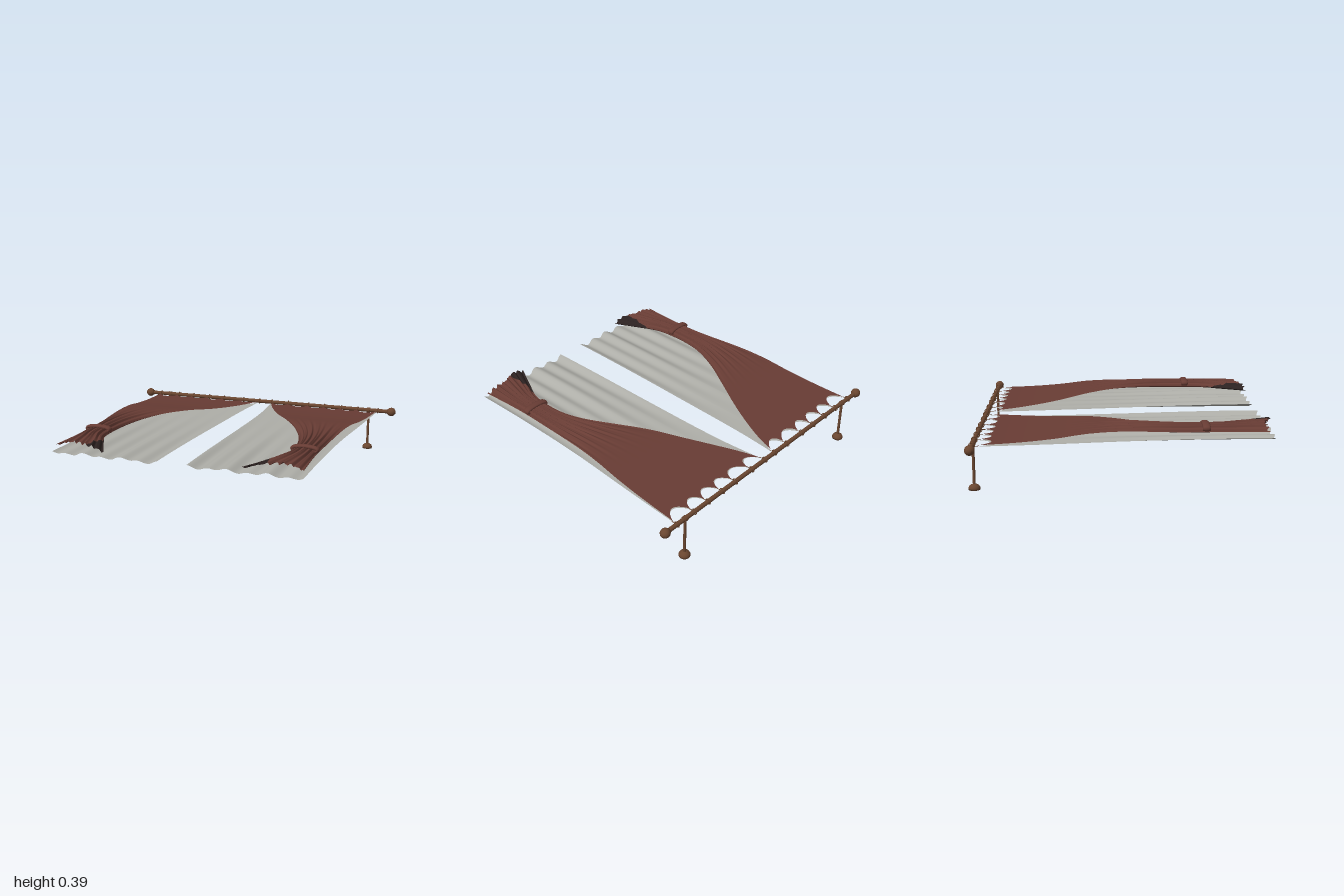
import * as THREE from 'three';

const mat = (name, color, side = THREE.FrontSide) => {
  const m = new THREE.MeshStandardMaterial({ color, side });
  m.name = name;
  return m;
};

// smooth curve through (z, value) pairs
function profile(pairs) {
  const c = new THREE.CubicInterpolant(pairs.map(p => p[0]), pairs.map(p => p[1]), 1);
  return z => c.evaluate(z)[0];
}

const ROD_Y = 0.29, ROD_Z = -0.905;
const RINGS = [0.05, 0.18, 0.34, 0.465, 0.595, 0.72, 0.87];
const smooth = THREE.MathUtils.smoothstep, lerp = THREE.MathUtils.lerp;

// top edge hanging in scallops between the rings
function scallop(u) {
  const x = 0.05 + u * 0.82;
  for (let i = 0; i < 6; i++) {
    if (x <= RINGS[i + 1] + 1e-6) {
      const t = (x - RINGS[i]) / (RINGS[i + 1] - RINGS[i]);
      return -0.875 + (i === 5 ? 0.08 : 0.07) * Math.pow(Math.max(0, 4 * t * (1 - t)), 0.8);
    }
  }
  return -0.875;
}

// grid of fabric from a rule (u across, v down) -> [x, y, z]
function sheet(rule, side, u0 = () => 0, u1 = () => 1, v0 = 0, nu = 164, nv = 44) {
  const pos = [], idx = [];
  for (let j = 0; j <= nv; j++) {
    const v = lerp(v0, 1, j / nv);
    for (let i = 0; i <= nu; i++) {
      const [x, y, z] = rule(lerp(u0(v), u1(v), i / nu), v);
      pos.push(side * x, y, z);
    }
  }
  for (let j = 0; j < nv; j++) for (let i = 0; i < nu; i++) {
    const a = j * (nu + 1) + i, b = a + 1, c = a + nu + 1, d = c + 1;
    if (side > 0) idx.push(a, c, b, b, c, d);
    else idx.push(a, b, c, b, d, c);
  }
  const g = new THREE.BufferGeometry();
  g.setAttribute('position', new THREE.Float32BufferAttribute(pos, 3));
  g.setIndex(idx);
  g.computeVertexNormals();
  return g;
}

const drapeInner = profile([[-0.9, 0.045], [-0.75, 0.095], [-0.6, 0.16], [-0.4, 0.26], [-0.2, 0.37], [0, 0.485],
  [0.2, 0.575], [0.35, 0.61], [0.5, 0.615], [0.62, 0.6], [0.75, 0.54], [0.94, 0.445]]);
const drapeOuter = profile([[-0.9, 0.868], [-0.4, 0.84], [0, 0.812], [0.5, 0.785], [0.94, 0.805]]);
const drapeCrest = profile([[-0.9, 0.292], [-0.6, 0.307], [-0.4, 0.325], [-0.2, 0.353], [0, 0.37], [0.5, 0.372], [0.94, 0.373]]);
const sheerInner = profile([[-0.9, 0.048], [-0.6, 0.073], [0, 0.088], [0.94, 0.097]]);
const sheerOuter = profile([[-0.9, 0.868], [-0.4, 0.838], [0, 0.815], [0.5, 0.808], [0.94, 0.812]]);

// gathered drape: pleats deepen towards the tieback
function drapeRule(u, v) {
  const hem = lerp(0.93, 0.88, smooth(u, 0.2, 0.6)) + 0.008 * Math.cos(u * 44);
  const z = lerp(scallop(u), hem, v);
  const gather = smooth(z, -0.35, 0.4);
  const x = lerp(drapeInner(z), drapeOuter(z), u);
  const arch = 0.035 * gather * Math.pow(Math.abs(2 * u - 1), 3);
  const pleat = gather * (0.006 * Math.cos(u * 50 + 0.6) + 0.003 * Math.cos(u * 83));
  return [x, drapeCrest(z) - arch + pleat, z];
}

// sheer panel: loose waves growing towards the hem
function sheerRule(u, v) {
  const z = lerp(scallop(u), 0.922 + 0.008 * Math.cos(u * 36), v);
  const x = lerp(sheerInner(z), sheerOuter(z), u);
  const wave = Math.cos(u * 36) * 0.6 + Math.cos(u * 17 + 1) * 0.4;
  return [x, 0.286 + 0.02 * smooth(v, 0, 1) + 0.015 * smooth(v, 0.1, 1) * wave, z];
}

export function createModel() {
  const model = new THREE.Group();
  model.name = 'curtains';
  const wood = mat('brownMetal', 0x6a4630);
  const cloth = mat('redBrownCloth', 0x683c34, THREE.DoubleSide);
  const lining = mat('darkLining', 0x2c2221, THREE.DoubleSide);
  const net = mat('greySheer', 0xaeaea8, THREE.DoubleSide);

  const add = (name, geo, material, x = 0, y = 0, z = 0) => {
    const m = new THREE.Mesh(geo, material);
    m.name = name;
    m.position.set(x, y, z);
    model.add(m);
    return m;
  };
  const lathe = pts => new THREE.LatheGeometry(pts.map(p => new THREE.Vector2(p[0], p[1])), 24);

  add('rod', new THREE.CylinderGeometry(0.014, 0.014, 1.9, 20).rotateZ(Math.PI / 2), wood, 0, ROD_Y, ROD_Z);

  for (const side of [1, -1]) {
    // turned end knob
    add('finial', lathe([[0, -0.03], [0.018, -0.03], [0.02, -0.024], [0.027, -0.018], [0.031, -0.004], [0.03, 0.008],
      [0.024, 0.02], [0.014, 0.024], [0.013, 0.029], [0, 0.03]]).rotateZ(-side * Math.PI / 2), wood, side * 0.97, ROD_Y, ROD_Z);

    // wall bracket
    add('bracketBase', lathe([[0, 0], [0.035, 0], [0.036, 0.012], [0.03, 0.024], [0.018, 0.032], [0.01, 0.036]]),
      wood, side * 0.8, 0, ROD_Z);
    add('bracketPost', new THREE.CylinderGeometry(0.009, 0.009, 0.26, 16), wood, side * 0.8, 0.155, ROD_Z);
    add('bracketCollar', new THREE.CylinderGeometry(0.018, 0.018, 0.024, 20).rotateZ(Math.PI / 2),
      wood, side * 0.8, ROD_Y, ROD_Z);

    // rings and their hooks
    for (const x of RINGS) {
      add('ring', new THREE.TorusGeometry(0.018, 0.003, 8, 20).rotateY(Math.PI / 2), wood, side * x, ROD_Y, ROD_Z);
      add('hook', new THREE.CylinderGeometry(0.002, 0.002, 0.025, 6).rotateX(Math.PI / 2), wood, side * x, ROD_Y, -0.877);
    }

    add('sheerPanel', sheet(sheerRule, side), net);

    // drape, with its turned-back lining showing below the tie
    const V = 0.83;
    const turn = v => 0.34 * smooth(v, V, 1);
    add('drapeUpper', sheet((u, v) => drapeRule(u, v * V), side), cloth);
    add('drapeTail', sheet(drapeRule, side, turn, () => 1, V, 120, 16), cloth);
    add('drapeLining', sheet(drapeRule, side, () => 0, turn, V, 30, 16), lining);

    // tieback band wrapped round the gathered cloth
    const loop = [];
    for (let i = 0; i < 24; i++) {
      const a = i / 24 * Math.PI * 2;
      loop.push(new THREE.Vector3(0.081 * Math.cos(a), 0.018 * Math.sin(a), 0));
    }
    const band = new THREE.TubeGeometry(new THREE.CatmullRomCurve3(loop, true), 64, 0.011, 10, true).scale(1, 1, 2.3);
    add('tieback', band, cloth, side * 0.702, 0.362, 0.505);
  }
  return model;
}
